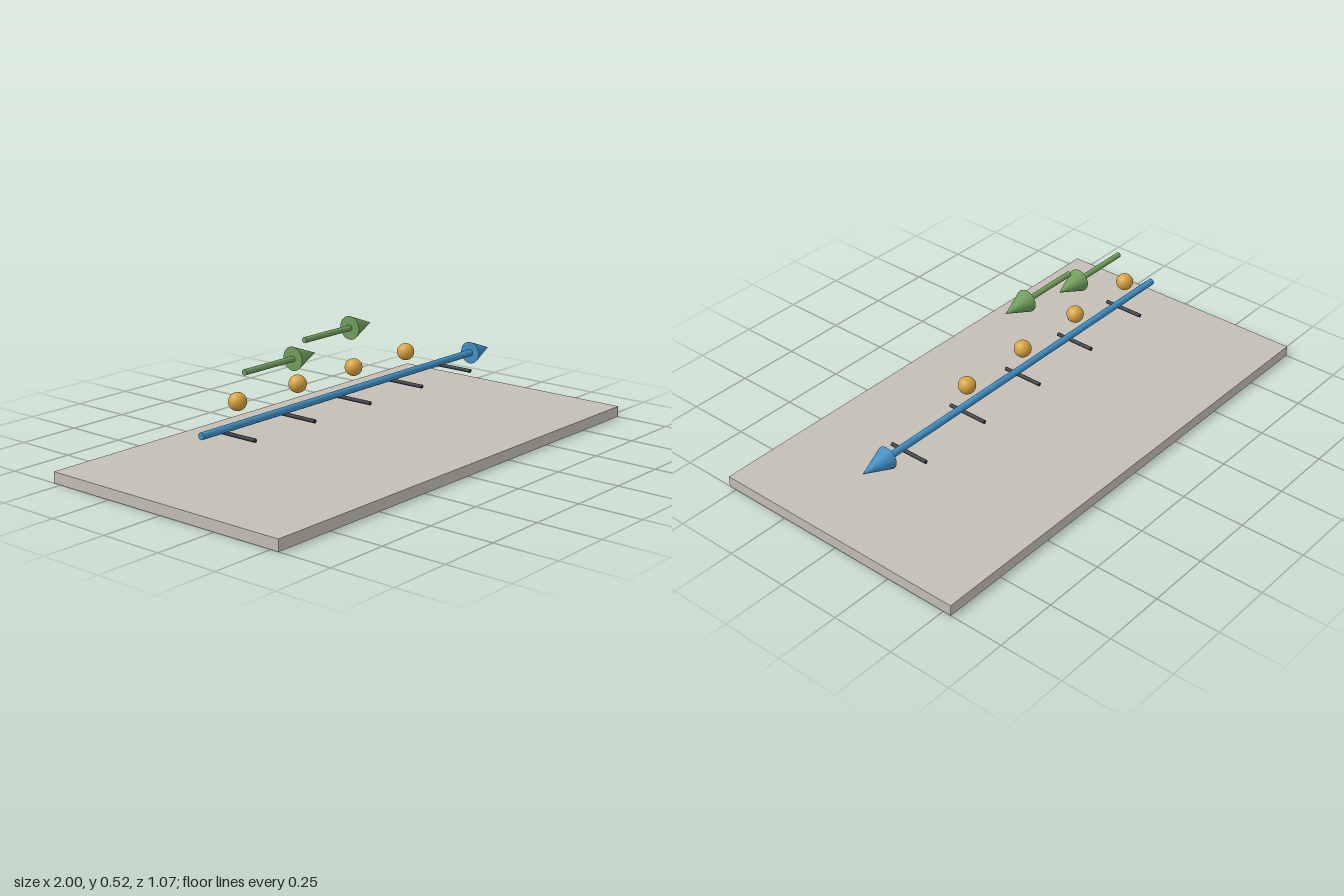
import * as THREE from 'three';

const material = (name, color) => {
  const m = new THREE.MeshStandardMaterial({ color });
  m.name = name;
  return m;
};

export function createModel() {
  const model = new THREE.Group();
  const stone = material('warm grey', 0xc4bfb5);
  const blue = material('blue', 0x3f8fc4);
  const green = material('green', 0x6f9e5c);
  const gold = material('gold', 0xd9a441);
  const dark = material('dark slate', 0x2f343b);

  const add = (parent, name, geometry, mat, x, y, z) => {
    const mesh = new THREE.Mesh(geometry, mat);
    mesh.name = name;
    mesh.position.set(x, y, z);
    parent.add(mesh);
  };

  // Arrow along +x: a thin round shaft and a conical head
  const addArrow = (name, mat, start, neck, tip, y, z, shaftRadius) => {
    const arrow = new THREE.Group();
    arrow.name = name;
    arrow.position.set(0, y, z);
    const shaft = new THREE.CylinderGeometry(shaftRadius, shaftRadius, neck - start, 20).rotateZ(-Math.PI / 2);
    const head = new THREE.ConeGeometry(0.044, tip - neck, 28).rotateZ(-Math.PI / 2);
    add(arrow, name + 'Shaft', shaft, mat, (start + neck) / 2, 0, 0);
    add(arrow, name + 'Head', head, mat, (neck + tip) / 2, 0, 0);
    model.add(arrow);
  };

  // Base slab
  add(model, 'base', new THREE.BoxGeometry(2, 0.043, 1.067), stone, 0, 0.0215, 0);

  // Main axis and the two step arrows above it
  addArrow('axisArrow', blue, -0.8, 0.727, 0.85, 0.229, 0, 0.0133);
  addArrow('firstStepArrow', green, -0.62, -0.372, -0.254, 0.422, 0.034, 0.0107);
  addArrow('secondStepArrow', green, -0.31, -0.062, 0.056, 0.478, 0.034, 0.0107);

  // Tick rods under the axis, with beads above the first four
  const tick = new THREE.CylinderGeometry(0.0075, 0.0075, 0.164, 12).rotateX(Math.PI / 2);
  const bead = new THREE.SphereGeometry(0.033, 24, 16);
  for (let i = 0; i < 5; i++) {
    const x = -0.62 + i * 0.31;
    add(model, 'tick' + (i + 1), tick, dark, x, 0.188, 0);
    if (i < 4) add(model, 'bead' + (i + 1), bead, gold, x, 0.313, 0);
  }

  return model;
}
